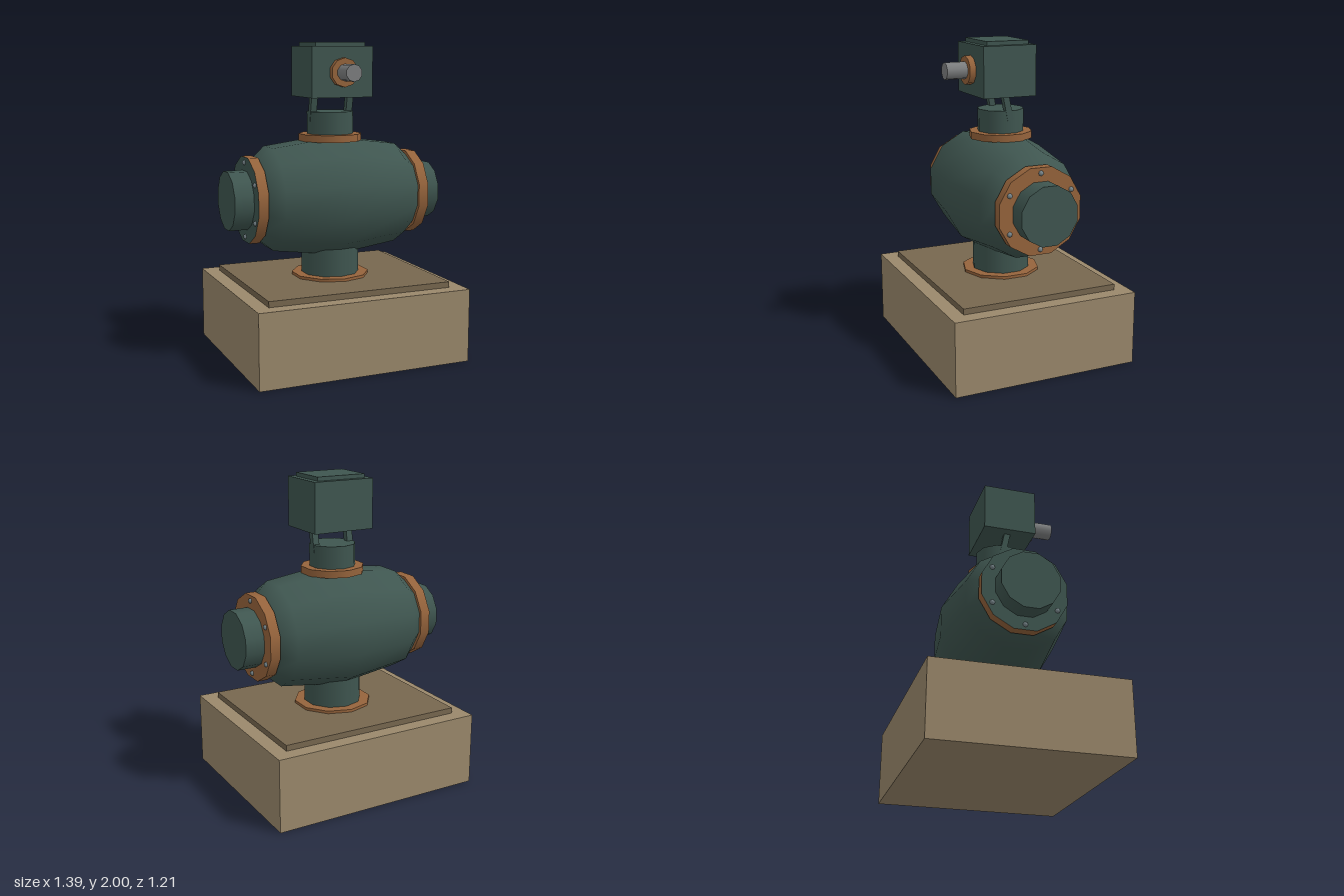
import * as THREE from 'three';

const paint = (name, color) => {
  const m = new THREE.MeshStandardMaterial({ color });
  m.name = name;
  return m;
};

export function createModel() {
  const model = new THREE.Group();
  model.name = 'pipelineValve';
  const green = paint('darkGreen', 0x3f5650);
  const rust = paint('rustOrange', 0x96643c);
  const tan = paint('tanStone', 0x9a886b);
  const brown = paint('brownPlate', 0x77674f);
  const steel = paint('steelGrey', 0x7d7f80);
  const boltGrey = paint('boltGrey', 0x78868b);

  const axisY = 1.028; // height of the pipe axis
  const turn = Math.PI / 12; // puts a flat of the twelve-sided parts upright

  const add = (name, geometry, material) => {
    const mesh = new THREE.Mesh(geometry, material);
    mesh.name = name;
    model.add(mesh);
    return mesh;
  };
  const box = (name, material, x, y0, y1, z0, z1) =>
    add(name, new THREE.BoxGeometry(x * 2, y1 - y0, z1 - z0), material)
      .position.set(0, (y0 + y1) / 2, (z0 + z1) / 2);
  const upright = (name, material, r, y0, y1) =>
    add(name, new THREE.CylinderGeometry(r, r, y1 - y0, 10), material)
      .position.set(0, (y0 + y1) / 2, 0);
  const alongX = (name, material, r, x0, x1) => {
    const g = new THREE.CylinderGeometry(r, r, x1 - x0, 12, 1, false, turn);
    g.rotateZ(-Math.PI / 2);
    add(name, g, material).position.set((x0 + x1) / 2, axisY, 0);
  };
  const alongZ = (name, material, r, z0, z1) => {
    const g = new THREE.CylinderGeometry(r, r, z1 - z0, 10);
    g.rotateX(Math.PI / 2);
    add(name, g, material).position.set(0, 1.815, (z0 + z1) / 2);
  };

  // Plinth
  box('plinth', tan, 0.697, 0, 0.468, -0.603, 0.603);
  box('plinthPlate', brown, 0.603, 0.468, 0.505, -0.51, 0.51);

  // Pedestal and top neck
  upright('pedestalFlange', rust, 0.25, 0.505, 0.523);
  upright('pedestal', green, 0.186, 0.523, 0.78);
  upright('neckFlange', rust, 0.202, 1.38, 1.425);
  upright('neck', green, 0.148, 1.425, 1.567);

  // Barrel-shaped body
  const profile = [[0.18, -0.57], [0.255, -0.512], [0.334, -0.42], [0.39, 0],
    [0.334, 0.42], [0.255, 0.512], [0.18, 0.57]].map(([r, x]) => new THREE.Vector2(r, x));
  const barrel = new THREE.LatheGeometry(profile, 12, turn);
  barrel.rotateZ(-Math.PI / 2);
  add('body', barrel, green).position.y = axisY;

  // Pipe ends; the flange on the -x side has a green outer face
  alongX('leftPipe', green, 0.188, 0.57, 0.697);
  alongX('rightPipe', green, 0.188, -0.697, -0.57);
  alongX('leftFlange', rust, 0.277, 0.51, 0.575);
  alongX('rightFlange', [rust, rust, green], 0.277, -0.575, -0.51);

  // Bolts through both flanges
  const boltShape = new THREE.CapsuleGeometry(0.017, 0.06, 3, 8);
  boltShape.rotateZ(Math.PI / 2);
  for (const side of [-1, 1]) {
    for (let i = 0; i < 6; i++) {
      const a = (i * Math.PI) / 3;
      add('flangeBolt', boltShape, boltGrey)
        .position.set(side * 0.543, axisY + Math.cos(a) * 0.234, Math.sin(a) * 0.234);
    }
  }

  // Leaning struts that carry the gearbox
  for (const side of [-1, 1]) {
    const strut = add('strut', new THREE.BoxGeometry(0.042, 0.17, 0.04), green);
    strut.position.set(side * 0.122, 1.59, 0.011);
    strut.rotation.x = 0.2;
  }

  // Gearbox with lid and drive shaft
  box('gearbox', green, 0.204, 1.66, 1.975, -0.148, 0.202);
  box('gearboxLid', green, 0.166, 1.975, 2, -0.112, 0.165);
  alongZ('shaftCollar', rust, 0.09, 0.2, 0.241);
  alongZ('driveShaft', steel, 0.053, 0.241, 0.375);

  return model;
}
